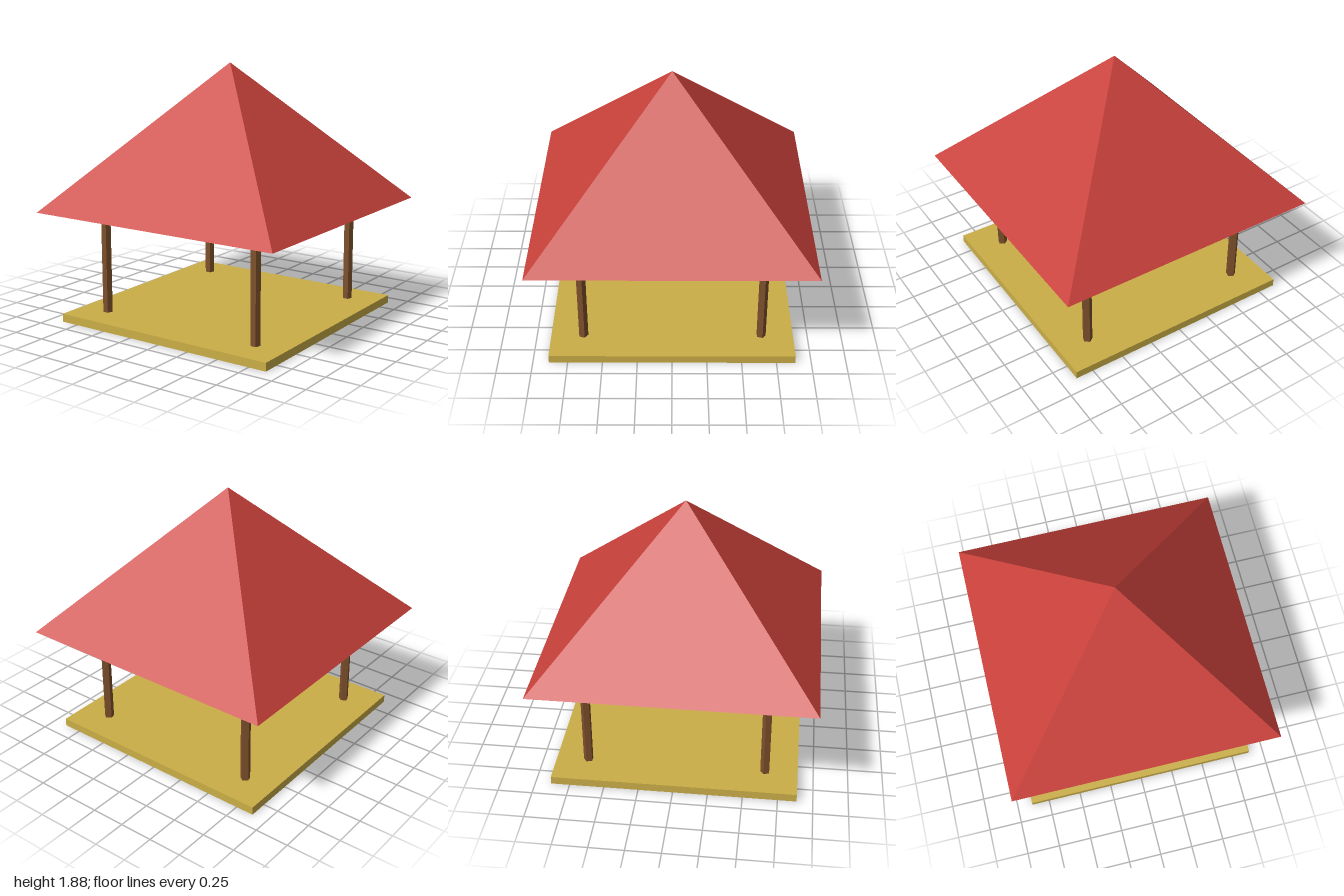
import * as THREE from 'three';

const flat = (name, color) => {
  const m = new THREE.MeshStandardMaterial({ color, flatShading: true });
  m.name = name;
  return m;
};

export function createModel() {
  const group = new THREE.Group();
  group.name = 'pavilion';
  const roofRed = flat('roofRed', 0xc8403a);
  const woodBrown = flat('woodBrown', 0x7d502b);
  const floorYellow = flat('floorYellow', 0xcbae47);

  const add = (name, geometry, material, x, y, z) => {
    const mesh = new THREE.Mesh(geometry, material);
    mesh.name = name;
    mesh.position.set(x, y, z);
    group.add(mesh);
  };

  // Square floor slab
  add('floor', new THREE.BoxGeometry(1.77, 0.06, 1.77), floorYellow, 0, 0.03, 0);

  // Four five-sided posts, each with a flat side to the front
  const post = new THREE.CylinderGeometry(0.036, 0.036, 0.84, 5).rotateY(Math.PI);
  for (const [side, x] of [['Left', 0.65], ['Right', -0.65]]) {
    for (const [end, z] of [['front', 0.65], ['back', -0.65]]) {
      add(`${end}${side}Post`, post, woodBrown, x, 0.425, z);
    }
  }

  // Closed pyramid roof
  const roof = new THREE.ConeGeometry(Math.SQRT2, 1.055, 4).rotateY(Math.PI / 4);
  add('roof', roof, roofRed, 0, 0.83 + 1.055 / 2, 0);

  return group;
}
